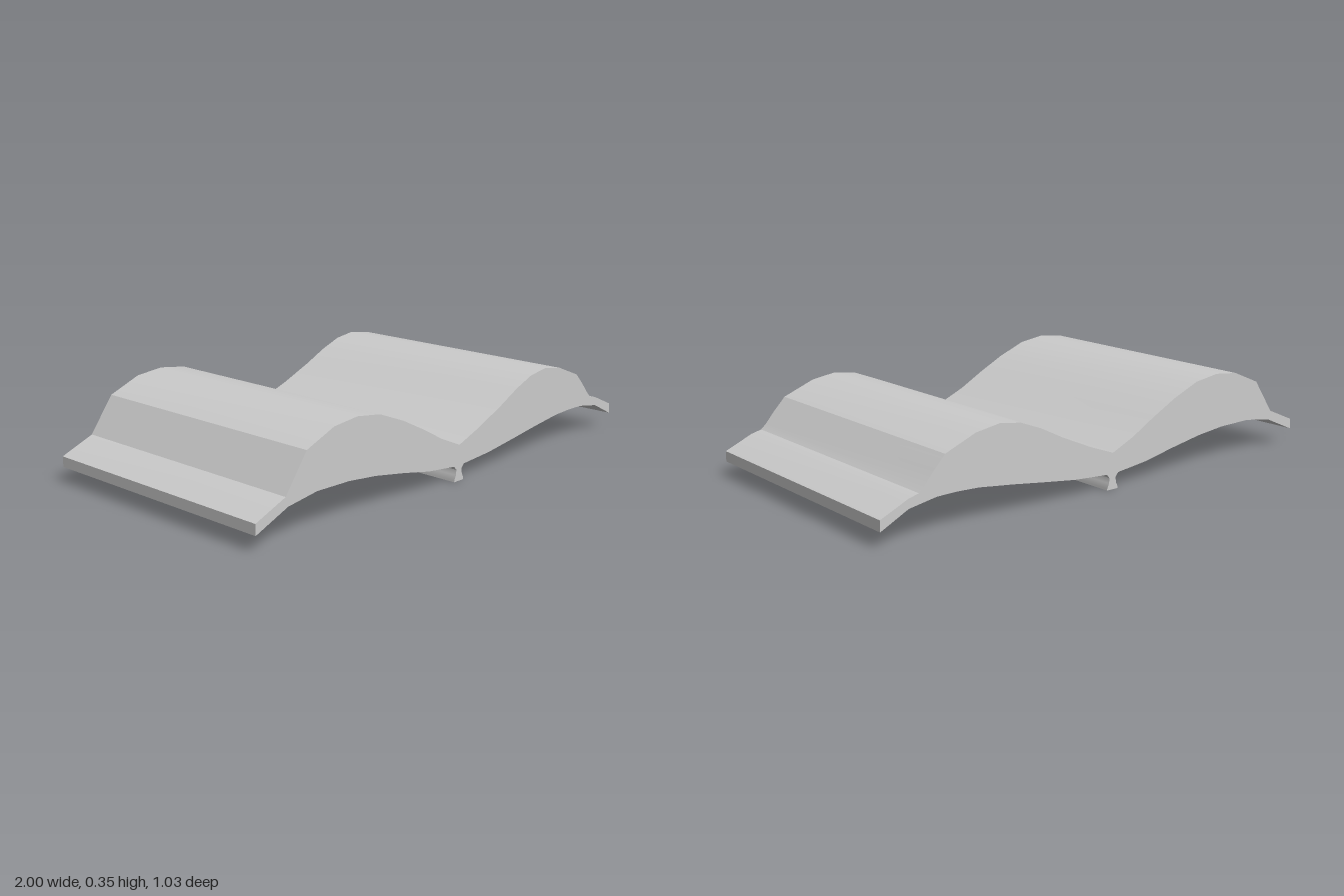
import * as THREE from 'three';
import { toCreasedNormals } from 'three/addons/utils/BufferGeometryUtils.js';

const LENGTH = 1.03;
const material = new THREE.MeshStandardMaterial({ color: 0xcccccc });

// Extrudes a closed front profile along z, centred on z = 0
function slab(name, points, length = LENGTH) {
  const shape = new THREE.Shape(points.map(([x, y]) => new THREE.Vector2(x, y)));
  const geometry = new THREE.ExtrudeGeometry(shape, { depth: length, bevelEnabled: false });
  geometry.translate(0, 0, -length / 2);
  const mesh = new THREE.Mesh(toCreasedNormals(geometry, 0.45), material);
  mesh.name = name;
  return mesh;
}

export function createModel() {
  const model = new THREE.Group();
  model.name = 'openBook';

  // Upper and lower faces of the cover, from -x to +x
  const lower = [
    [-1, 0.06], [-0.86, 0.12], [-0.73, 0.14], [-0.58, 0.138], [-0.45, 0.125], [-0.3, 0.1],
    [-0.17, 0.075], [-0.03, 0.06], [0.03, 0.06], [0.18, 0.071], [0.32, 0.09], [0.46, 0.11],
    [0.61, 0.129], [0.7, 0.133], [0.78, 0.132], [0.89, 0.114], [1, 0.06],
  ];
  const upperLeft = [
    [-1, 0.1], [-0.87, 0.155], [-0.74, 0.182], [-0.6, 0.185], [-0.46, 0.17],
    [-0.33, 0.147], [-0.17, 0.116], [0, 0.1],
  ];
  const upperRight = [
    [0, 0.1], [0.16, 0.108], [0.31, 0.127], [0.46, 0.15], [0.6, 0.17],
    [0.74, 0.175], [0.85, 0.158], [0.89, 0.148], [1, 0.1],
  ];
  model.add(slab('cover', [...lower, ...upperRight.slice().reverse(), ...upperLeft.slice(0, -1).reverse()]));

  // Page blocks, resting on the cover and meeting at the fold
  const leftTop = [
    [0, 0.137], [-0.1, 0.18], [-0.2, 0.235], [-0.31, 0.29], [-0.43, 0.337],
    [-0.54, 0.352], [-0.65, 0.34], [-0.775, 0.288],
  ];
  const rightTop = [
    [0.85, 0.158], [0.83, 0.176], [0.79, 0.222], [0.755, 0.258], [0.745, 0.269], [0.62, 0.318],
    [0.52, 0.333], [0.43, 0.32], [0.34, 0.285], [0.24, 0.235], [0.11, 0.178], [0, 0.137],
  ];
  model.add(slab('leftPages', [...upperLeft.slice(1), ...leftTop]));
  model.add(slab('rightPages', [...upperRight.slice(0, 6), ...rightTop]));

  // Spine below the fold, flared at the foot and at the cover
  const half = [[0.026, 0], [0.026, 0.006], [0.017, 0.025], [0.015, 0.045], [0.03, 0.062]];
  const mirrored = half.map(([x, y]) => [-x, y]).reverse();
  model.add(slab('spine', [...half, ...mirrored]));

  return model;
}
